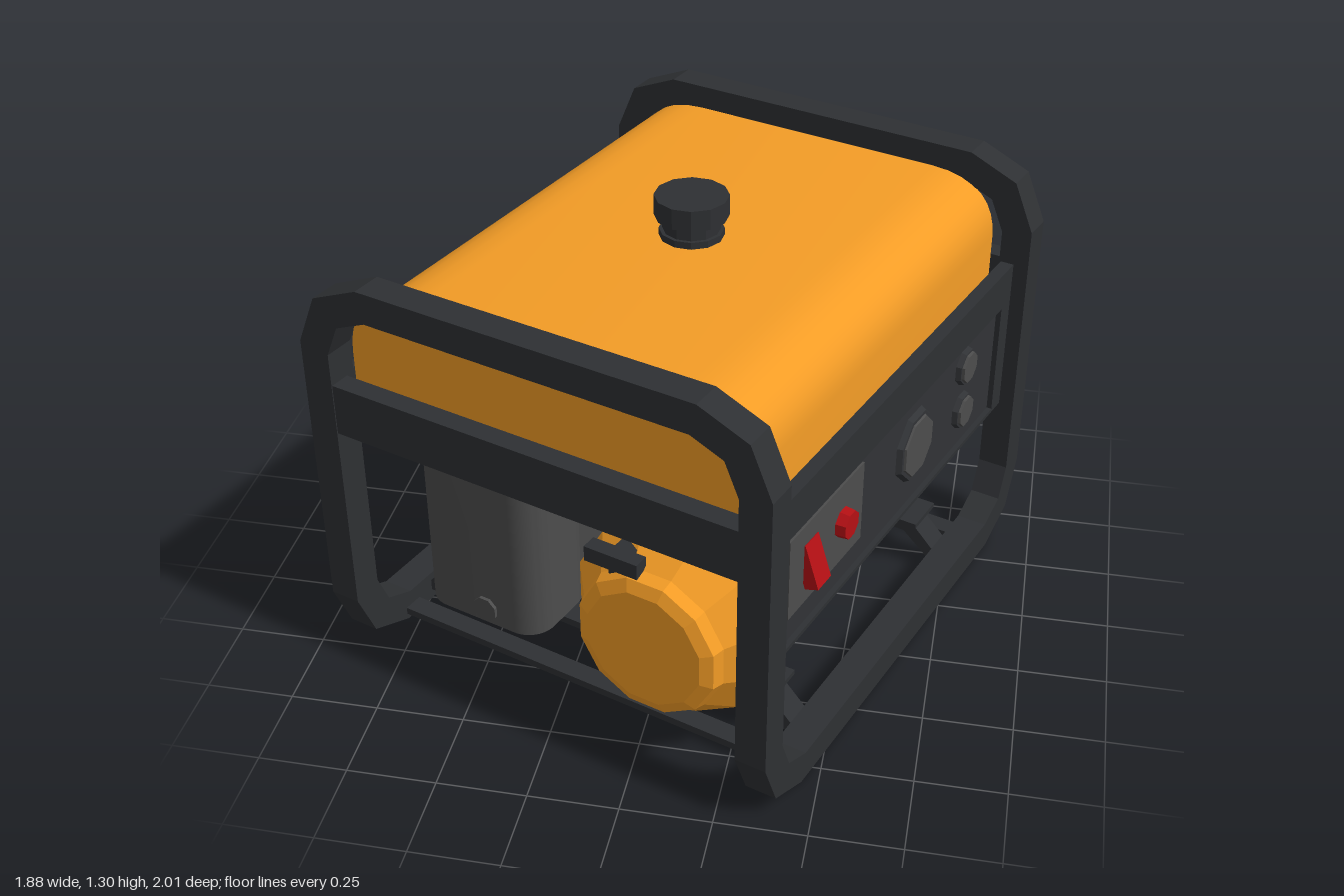
import * as THREE from 'three';
import { toCreasedNormals } from 'three/addons/utils/BufferGeometryUtils.js';

const mat = (color, flatShading = true) => new THREE.MeshStandardMaterial({ color, flatShading });
const DARK = mat(0x2e3033), PANEL = mat(0x313336), GREY = mat(0x4c4c4c), STEEL = mat(0x707070);
const ORANGE = mat(0xf39c26), RED = mat(0xb51014);
const GREY_SMOOTH = mat(0x4c4c4c, false), STEEL_SMOOTH = mat(0x707070, false), ORANGE_SMOOTH = mat(0xf39c26, false);

export function createModel() {
  const root = new THREE.Group();
  const body = new THREE.Group();
  body.name = 'generator';
  body.rotation.y = THREE.MathUtils.degToRad(-20);
  root.add(body);

  const add = (name, geo, material, x = 0, y = 0, z = 0) => {
    const m = new THREE.Mesh(geo, material);
    m.name = name;
    m.position.set(x, y, z);
    body.add(m);
    return m;
  };
  const box = (name, material, w, h, d, x, y, z) => add(name, new THREE.BoxGeometry(w, h, d), material, x, y, z);
  // round part along z from [radius, z] points
  const turned = (name, material, pts, x, y, sides = 12) => {
    const g = new THREE.LatheGeometry(pts.map(p => new THREE.Vector2(p[0], p[1])), sides, Math.PI / sides);
    return add(name, g.rotateX(Math.PI / 2), material, x, y, 0);
  };
  // outline with cut corners, centred on (0, cy)
  const cutRect = (w, h, c, cy = 0, Type = THREE.Shape) => {
    const a = w / 2, b = h / 2;
    return new Type([[-a + c, -b], [a - c, -b], [a, -b + c], [a, b - c], [a - c, b], [-a + c, b], [-a, b - c], [-a, -b + c]]
      .map(([x, y]) => new THREE.Vector2(x, y + cy)));
  };
  const extrude = (shape, depth, curveSegments = 6) =>
    new THREE.ExtrudeGeometry(shape, { depth, bevelEnabled: false, curveSegments });

  // tube frame: one half loop, turned round for the other end
  const frameGeo = squareTube(framePath(), 0.045);
  // engine mount outline: thin bar with raised ends sloping down to the rails
  const mountHalf = [[0.46, 0.108], [0.51, 0.108], [0.6, 0.03], [0.66, 0.03], [0.66, 0.05], [0.63, 0.05], [0.53, 0.15], [0.46, 0.15], [0.46, 0.13]];
  const mount = new THREE.Shape([...mountHalf, ...mountHalf.map(([x, y]) => [-x, y]).reverse()].map(p => new THREE.Vector2(...p)));
  for (const s of [1, -1]) {
    add(s > 0 ? 'frontFrame' : 'backFrame', frameGeo, DARK).rotation.y = s > 0 ? 0 : Math.PI;
    box('endBar', DARK, 1.24, 0.15, 0.06, 0, 0.855, s * 0.778);
    box('bottomBar', DARK, 1.24, 0.022, 0.06, 0, 0.031, s * 0.58);
    add('engineMount', extrude(mount, 0.08), DARK, 0, 0, s * 0.45 - 0.04);
    for (const x of [-0.5, 0.5]) box('mountPad', DARK, 0.12, 0.015, 0.13, x, 0.155, s * 0.45);
  }
  box('leftBar', DARK, 0.03, 0.15, 1.46, -0.64, 0.855, 0);

  // fuel tank with a tapered underside
  const t = new THREE.Shape();
  t.moveTo(-0.605, 0.74);
  t.lineTo(0.585, 0.74);
  t.lineTo(0.585, 1.0);
  t.bezierCurveTo(0.585, 1.1, 0.53, 1.18, 0.38, 1.18);
  t.lineTo(-0.4, 1.18);
  t.bezierCurveTo(-0.55, 1.18, -0.605, 1.1, -0.605, 1.0);
  add('fuelTank', toCreasedNormals(extrude(t, 1.45, 8).translate(0, 0, -0.725), 0.55), ORANGE_SMOOTH);
  const under = new THREE.BoxGeometry(1.19, 0.05, 1.45);
  const up = under.attributes.position;
  for (let i = 0; i < up.count; i++) {
    if (up.getY(i) < 0) up.setXYZ(i, up.getX(i) * 0.94, up.getY(i), up.getZ(i) * 0.95);
  }
  add('tankUnderside', under, ORANGE, -0.01, 0.715, 0);

  // filler cap
  const cap = [[0, 1.17], [0.09, 1.17], [0.09, 1.2], [0.08, 1.2], [0.08, 1.24], [0.103, 1.24], [0.103, 1.3], [0, 1.3]];
  add('fuelCap', new THREE.LatheGeometry(cap.map(p => new THREE.Vector2(...p)), 12), DARK);

  // control panel on the right side, recessed in its surround
  box('panelTop', DARK, 0.04, 0.12, 1.46, 0.64, 0.87, 0);
  box('panelLip', DARK, 0.04, 0.012, 1.46, 0.64, 0.456, 0);
  for (const z of [-0.695, 0.695]) box('panelEnd', DARK, 0.04, 0.36, 0.07, 0.64, 0.63, z);
  box('panelFace', PANEL, 0.025, 0.36, 1.34, 0.632, 0.63, 0);
  box('switchPlate', GREY, 0.012, 0.245, 0.405, 0.645, 0.66, 0.41);
  const rocker = box('rockerSwitch', RED, 0.04, 0.13, 0.07, 0.655, 0.655, 0.5);
  rocker.rotation.z = 0.32;
  const dial = (name, material, r, h, y, z) => {
    const g = new THREE.CylinderGeometry(r * 0.9, r, h, 8).rotateY(Math.PI / 8).rotateZ(-Math.PI / 2);
    add(name, g, material, 0.64 + h / 2, y, z);
  };
  dial('redKnob', RED, 0.045, 0.04, 0.665, 0.325);
  dial('mainSocketRim', PANEL, 0.115, 0.02, 0.65, -0.113);
  dial('mainSocket', GREY, 0.1, 0.026, 0.65, -0.113);
  for (const y of [0.58, 0.73]) {
    dial('smallSocketRim', PANEL, 0.06, 0.02, y, -0.44);
    dial('smallSocket', GREY, 0.052, 0.028, y, -0.44);
  }

  // alternator along z, with starter cover in front and end cover behind
  const gx = 0.315, gy = 0.41;
  turned('starterCover', ORANGE, [[0, 0.38], [0.29, 0.38], [0.295, 0.63], [0.22, 0.72], [0.21, 0.755], [0.175, 0.77], [0, 0.77]], gx, gy);
  turned('coupling', GREY, [[0, 0.18], [0.275, 0.18], [0.23, 0.25], [0.23, 0.39], [0, 0.39]], gx, gy);
  turned('alternator', STEEL_SMOOTH, [[0.285, -0.62], [0.285, 0.2]], gx, gy, 24);
  turned('alternatorFront', STEEL, [[0.285, 0.2], [0, 0.2]], gx, gy, 24);
  turned('alternatorEnd', STEEL, [[0, -0.68], [0.25, -0.68], [0.275, -0.665], [0.285, -0.62]], gx, gy, 24);
  turned('endCover', ORANGE, [[0, -0.73], [0.2, -0.73], [0.245, -0.7], [0.245, -0.67], [0, -0.67]], gx, gy);

  // pull handle above the starter cover
  box('pullHandle', DARK, 0.16, 0.045, 0.045, 0.21, 0.637, 0.73);
  box('pullStem', DARK, 0.06, 0.07, 0.08, 0.22, 0.615, 0.69);

  // engine block and muffler on the left
  box('engineBlock', STEEL, 0.46, 0.42, 0.38, -0.26, 0.41, 0.21);
  box('crankcase', GREY, 0.34, 0.3, 0.45, 0.0, 0.37, 0.12);
  box('cylinderHead', STEEL, 0.42, 0.12, 0.36, -0.28, 0.63, 0.2);
  const mx = -0.35, my = 0.42;
  add('muffler', extrude(cutRect(0.51, 0.53, 0.09), 0.63), STEEL, mx, my, -0.6);
  const rim = cutRect(0.51, 0.53, 0.09);
  rim.holes.push(cutRect(0.37, 0.44, 0.11, -0.015, THREE.Path));
  add('mufflerRim', extrude(rim, 0.06), STEEL, mx, my, -0.66);
  add('mufflerEnd', extrude(cutRect(0.38, 0.45, 0.11, -0.015), 0.02), GREY, mx, my, -0.615);

  // rounded air filter housing at the front left
  const a = new THREE.Shape(), w = 0.2, d = 0.14, r = 0.08;
  a.moveTo(-w + r, -d);
  a.lineTo(w - r, -d);
  a.absarc(w - r, -d + r, r, -Math.PI / 2, 0);
  a.absarc(w - r, d - r, r, 0, Math.PI / 2);
  a.absarc(-w + r, d - r, r, Math.PI / 2, Math.PI);
  a.absarc(-w + r, -d + r, r, Math.PI, Math.PI * 1.5);
  add('airFilter', toCreasedNormals(extrude(a, 0.55).rotateX(-Math.PI / 2), 0.5), GREY_SMOOTH, -0.325, 0.14, 0.49);
  turned('drainPlug', GREY, [[0, 0.6], [0.04, 0.6], [0.04, 0.64], [0, 0.64]], -0.3, 0.19, 8);

  return root;
}

// centre line of half the frame: left rail, up, across, down, right rail
function framePath() {
  const x = 0.66, z = 0.766, lo = 0.045, hi = 1.205, r = 0.17, k = 0.3;
  const half = [[-x, lo, 0], [-x, lo, z - r], [-x, lo + k * r, z - k * r], [-x, lo + r, z],
    [-x, hi - r, z], [-x + k * r, hi - k * r, z], [-x + r, hi, z]];
  const mirrored = half.map(p => [-p[0], p[1], p[2]]).reverse();
  return [...half, ...mirrored].map(p => new THREE.Vector3(...p));
}

// square tube with mitred bends, starting along +z
function squareTube(path, h) {
  const n = path.length, pos = [];
  const dir = i => path[i + 1].clone().sub(path[i]).normalize();
  let ring = [[-h, -h], [h, -h], [h, h], [-h, h]].map(([x, y]) => new THREE.Vector3(x, y, 0).add(path[0]));
  for (let i = 0; i < n - 1; i++) {
    const d = dir(i);
    const plane = i < n - 2 ? d.clone().add(dir(i + 1)) : d;
    const next = ring.map(p => p.clone().addScaledVector(d, path[i + 1].clone().sub(p).dot(plane) / d.dot(plane)));
    for (let k = 0; k < 4; k++) {
      const m = (k + 1) % 4;
      for (const p of [ring[k], ring[m], next[m], ring[k], next[m], next[k]]) pos.push(p.x, p.y, p.z);
    }
    ring = next;
  }
  const g = new THREE.BufferGeometry();
  g.setAttribute('position', new THREE.Float32BufferAttribute(pos, 3));
  g.computeVertexNormals();
  return g;
}
